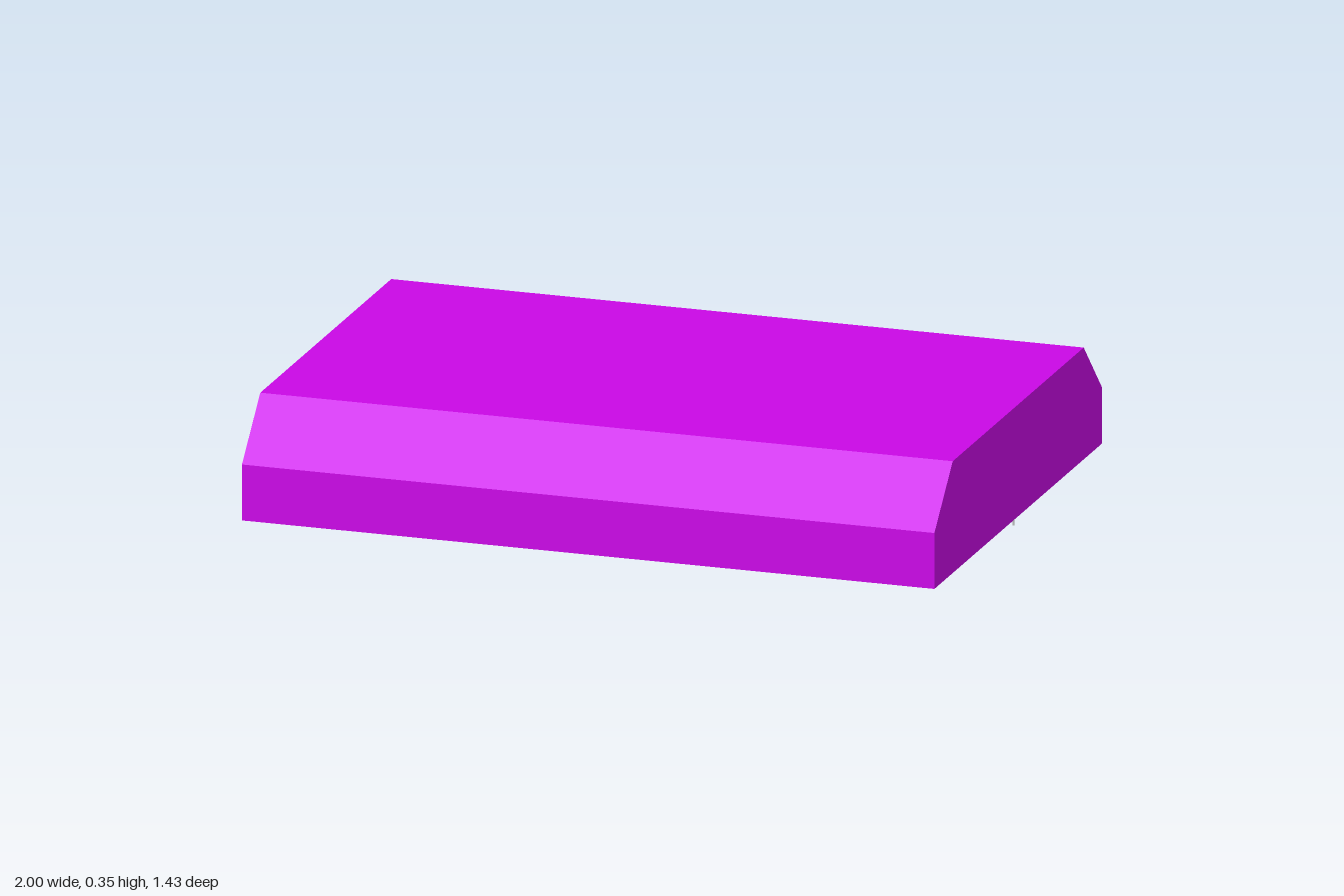
import * as THREE from 'three';

const purple = new THREE.MeshStandardMaterial({ color: 0xcc08e8 });
const blue = new THREE.MeshStandardMaterial({ color: 0x0a10d8 });
const darkBlue = new THREE.MeshStandardMaterial({ color: 0x05064a });
const grey = new THREE.MeshStandardMaterial({ color: 0xcccccc });

const WALL = 0.02;
const INNER = 2 - 2 * WALL;

// Extrudes a [z, y] cross-section along x, centred on the given x
function section(name, points, length, x = 0) {
  const shape = new THREE.Shape(points.map(([z, y]) => new THREE.Vector2(-z, y)));
  const geometry = new THREE.ExtrudeGeometry(shape, { depth: length, bevelEnabled: false });
  geometry.translate(0, 0, -length / 2).rotateY(Math.PI / 2).translate(x, 0, 0);
  const mesh = new THREE.Mesh(geometry, purple);
  mesh.name = name;
  return mesh;
}

// Completes a half profile with its mirror image across z = 0
const mirrored = (half) => [...half, ...half.map(([z, y]) => [-z, y]).reverse()];

function box(name, w, h, d, x, y, z, material) {
  const mesh = new THREE.Mesh(new THREE.BoxGeometry(w, h, d), material);
  mesh.position.set(x, y, z);
  mesh.name = name;
  return mesh;
}

// One finned panel: dark backing with slats running up the slope
function finPanel(x, width, length) {
  const panel = new THREE.Group();
  panel.name = 'finPanel';
  panel.add(box('panelBacking', width, 0.004, length, 0, -0.002, 0, darkBlue));
  const count = 9;
  const pitch = width / count;
  for (let i = 0; i < count; i++) {
    const fx = (i + 0.5) * pitch - width / 2;
    panel.add(box('fin', pitch * 0.6, 0.01, length, fx, -0.006, 0, blue));
  }
  panel.position.x = x;
  return panel;
}

export function createModel() {
  const model = new THREE.Group();
  model.name = 'ceilingUnit';

  // Hollow housing, open underneath
  const outer = mirrored([[0.717, 0.03], [0.717, 0.19], [0.56, 0.35]]);
  const inner = mirrored([[0.697, 0.03], [0.697, 0.182], [0.552, 0.33]]);
  model.add(section('housingShell', [...outer, ...inner.reverse()], INNER));
  for (const s of [-1, 1]) {
    model.add(section('endWall', outer, WALL, s * (1 - WALL / 2)));
  }

  // V-shaped carrier rising from a narrow central tray to the ceiling
  const below = mirrored([[0.035, 0.033], [0.433, 0.33]]);
  const carrier = [
    [-0.433, 0.33], [-0.035, 0.033], [0.035, 0.033], [0.433, 0.33],
    [0.405, 0.33], [0.02, 0.045], [-0.02, 0.045], [-0.405, 0.33],
  ];
  model.add(section('panelCarrier', carrier, INNER));

  // Four finned panels on each slope
  const slope = Math.atan2(below[1][1] - below[0][1], below[1][0] - below[0][0]);
  for (const turn of [0, Math.PI]) {
    const side = new THREE.Group();
    side.name = 'panelRow';
    const row = new THREE.Group();
    row.position.set(0, 0.19, 0.2454);
    row.rotation.x = -slope;
    for (let i = 0; i < 4; i++) row.add(finPanel((i - 1.5) * 0.526, 0.4, 0.42));
    side.add(row);
    side.rotation.y = turn;
    model.add(side);
  }

  // Small funnel-shaped drains under both ends of the tray
  const profile = [[0, 0], [0.003, 0], [0.003, 0.018], [0.012, 0.034], [0, 0.034]];
  const drain = new THREE.LatheGeometry(profile.map(([r, y]) => new THREE.Vector2(r, y)), 12);
  for (const s of [-1, 1]) {
    const mesh = new THREE.Mesh(drain, grey);
    mesh.name = 'drain';
    mesh.position.set(s * 0.983, 0, -0.01);
    model.add(mesh);
  }
  return model;
}
